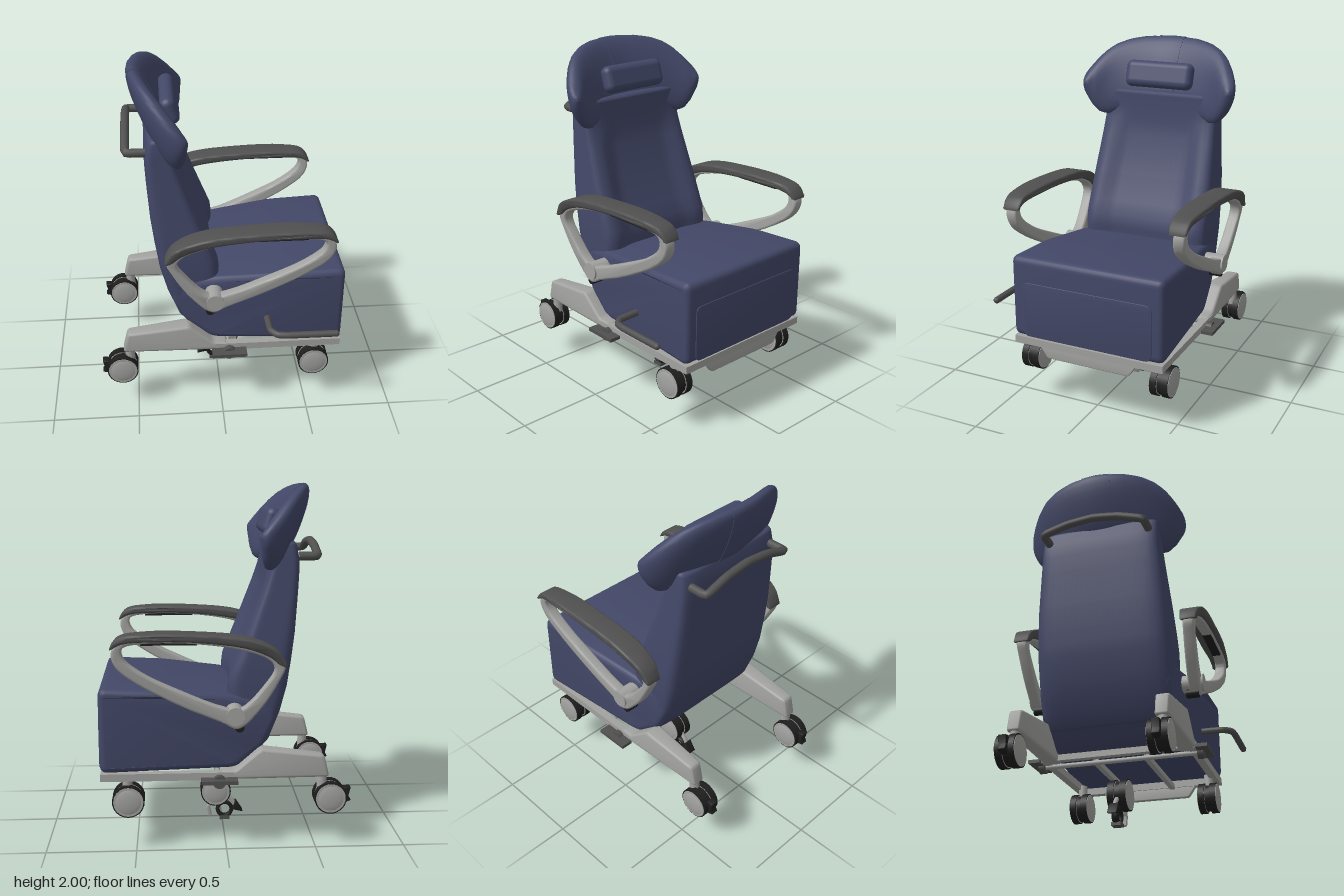
import * as THREE from 'three';
import { toCreasedNormals } from 'three/addons/utils/BufferGeometryUtils.js';
import { RoundedBoxGeometry } from 'three/addons/geometries/RoundedBoxGeometry.js';

const V2 = (p) => new THREE.Vector2(p[0], p[1]);
const V3 = (p) => new THREE.Vector3(...p);
const mat = (name, color) => Object.assign(new THREE.MeshStandardMaterial({ color }), { name });
const { smoothstep } = THREE.MathUtils;

// Skin a row of equal-length rings, closing both ends; winding is set from the enclosed volume.
function loft(rings) {
  const m = rings[0].length, pos = rings.flat(2), idx = [];
  for (let i = 0; i < rings.length - 1; i++) for (let j = 0; j < m; j++) {
    const a = i * m + j, b = i * m + (j + 1) % m;
    idx.push(a, b, a + m, b, b + m, a + m);
  }
  [rings[0], rings[rings.length - 1]].forEach((r, end) => {
    const o = pos.length / 3;
    pos.push(...r.flat(), ...[0, 1, 2].map((k) => r.reduce((s, p) => s + p[k], 0) / m));
    for (let j = 0; j < m; j++) {
      const a = o + j, b = o + (j + 1) % m;
      idx.push(...(end ? [a, b, o + m] : [b, a, o + m]));
    }
  });
  let vol = 0;
  const at = (i) => V3(pos.slice(i * 3, i * 3 + 3));
  for (let i = 0; i < idx.length; i += 3) vol += at(idx[i]).dot(at(idx[i + 1]).cross(at(idx[i + 2])));
  if (vol < 0) idx.reverse();
  const g = new THREE.BufferGeometry();
  g.setAttribute('position', new THREE.Float32BufferAttribute(pos, 3));
  g.setIndex(idx);
  g.computeVertexNormals();
  return g;
}

// Unit superellipse point in the direction t.
function superPoint(t, n) {
  const c = Math.cos(t), s = Math.sin(t);
  const r = (Math.abs(c) ** n + Math.abs(s) ** n) ** (-1 / n);
  return [c * r, s * r];
}

// Linear look-up of [key, value, value...] rows.
function lookUp(rows, x) {
  const i = Math.max(1, rows.findIndex((r) => r[0] >= x)), a = rows[i - 1], b = rows[i];
  return a.map((v, k) => v + (b[k] - v) * (x - a[0]) / (b[0] - a[0]));
}

// Polygon with softened corners.
function roundedShape(pts, r) {
  const s = new THREE.Shape(), p = pts.map(V2), n = p.length;
  p.forEach((c, i) => {
    const toward = (q) => c.clone().lerp(q, Math.min(0.45, r / c.distanceTo(q)));
    const a = toward(p[(i + n - 1) % n]), b = toward(p[(i + 1) % n]);
    if (i) s.lineTo(a.x, a.y); else s.moveTo(a.x, a.y);
    s.quadraticCurveTo(c.x, c.y, b.x, b.y);
  });
  s.closePath();
  return s;
}

const splineLoop = (pts, n = 64) => new THREE.CatmullRomCurve3(pts.map((p) => V3([p[0], p[1], 0])), true)
  .getPoints(n).slice(0, n).map((p) => new THREE.Vector2(p.x, p.y));

// Extrude in z, centred, with an inset bevel; rule may move each vertex.
function extrude(shape, width, bevel, rule) {
  const g = new THREE.ExtrudeGeometry(shape, { depth: width - 2 * bevel, bevelEnabled: bevel > 0,
    bevelSize: bevel, bevelThickness: bevel, bevelOffset: -bevel, bevelSegments: 3, curveSegments: 6 });
  g.translate(0, 0, bevel - width / 2);
  const p = g.attributes.position, v = new THREE.Vector3();
  if (rule) for (let i = 0; i < p.count; i++) {
    rule(v.fromBufferAttribute(p, i));
    p.setXYZ(i, v.x, v.y, v.z);
  }
  return toCreasedNormals(g, 0.7);
}

const tube = (pts, r, tension = 0.2) => new THREE.TubeGeometry(
  new THREE.CatmullRomCurve3(pts.map(V3), false, 'catmullrom', tension), 40, r, 10);
const disc = (r, w) => new THREE.CylinderGeometry(r, r, w, 28).rotateX(Math.PI / 2);

export function createModel() {
  const model = new THREE.Group(), chair = new THREE.Group();
  chair.name = 'chair';
  chair.position.z = -0.035;
  model.add(chair);
  const blue = mat('blue upholstery', 0x434868), grey = mat('light grey frame', 0xa2a2a0);
  const dark = mat('dark grey plastic', 0x505050), black = mat('black rubber', 0x1e1e1e);
  const add = (name, geo, m, x = 0, y = 0, z = 0, parent = chair) => {
    const mesh = new THREE.Mesh(geo, m);
    mesh.name = name;
    mesh.position.set(x, y, z);
    parent.add(mesh);
    return mesh;
  };
  const box = (name, m, w, h, d, x, y, z, parent) => add(name, new THREE.BoxGeometry(w, h, d), m, x, y, z, parent);

  // Seat block, narrowing toward the back
  const seat = roundedShape([[-0.06, 0.45], [0.695, 0.445], [0.697, 0.92], [0.35, 0.905], [0, 0.87],
    [-0.28, 0.83], [-0.285, 0.73], [-0.21, 0.57]], 0.045);
  add('seat', extrude(seat, 0.91, 0.03, (v) => {
    v.z *= 1 - 0.16 * smoothstep(0.5 - v.x, 0, 0.8);
  }), blue);
  add('seatFrontPanel', extrude(roundedShape([[-0.39, 0.455], [0.39, 0.455], [0.39, 0.775], [-0.39, 0.775]], 0.04),
    0.009, 0.002).rotateY(Math.PI / 2), blue, 0.696);

  // Backrest: y, rear x, front x, half width, hollow in the front
  const backLevels = [[0.53, -0.19, -0.08, 0.35, 0], [0.6, -0.25, -0.03, 0.375, 0], [0.75, -0.31, -0.01, 0.385, 0.03],
    [0.9, -0.35, -0.003, 0.388, 0.035], [0.97, -0.36, -0.012, 0.388, 0.035], [1.05, -0.372, -0.045, 0.386, 0.04],
    [1.2, -0.39, -0.105, 0.378, 0.045], [1.42, -0.405, -0.19, 0.361, 0.035], [1.52, -0.41, -0.225, 0.354, 0.005],
    [1.6, -0.41, -0.243, 0.35, 0], [1.675, -0.395, -0.237, 0.344, 0], [1.69, -0.385, -0.245, 0.338, 0],
    [1.696, -0.36, -0.265, 0.32, 0]];
  add('backrest', loft(backLevels.map(([y, xr, xf, w, dent]) => Array.from({ length: 80 }, (_, i) => {
    const [a, b] = superPoint((i / 80) * Math.PI * 2, 7);
    const hollow = a > 0 ? dent * (1 - smoothstep(Math.abs(b), 0.5, 0.85)) : 0;
    return [(xr + xf) / 2 + a * (xf - xr) / 2 - hollow, y, b * w];
  }))), blue);

  // Winged headrest (share of half length, top, bottom) and its centre band
  const half = [[-0.185, 0.46], [-0.23, 0.435], [-0.29, 0.36], [-0.34, 0.22]];
  const plan = new THREE.CatmullRomCurve3([...half.map(([x, z]) => V3([x, 0, -z])), V3([-0.37, 0, 0]),
    ...half.slice().reverse().map(([x, z]) => V3([x, 0, z]))]);
  const outline = [[0, 1.998, 1.6], [0.3, 1.993, 1.59], [0.5, 1.975, 1.565], [0.65, 1.945, 1.542], [0.75, 1.91, 1.55],
    [0.86, 1.85, 1.6], [0.95, 1.79, 1.67], [1, 1.745, 1.725]];
  const headrest = (limit, grow) => loft(Array.from({ length: 41 }, (_, i) => {
    const s = limit * Math.sin((i / 20 - 1) * Math.PI / 2), u = (s + 1) / 2;
    const c = plan.getPointAt(u), t = plan.getTangentAt(u);
    const [, top, bottom] = lookUp(outline, Math.abs(s));
    const thick = 0.06 * Math.sqrt(Math.max(1e-3, 1 - s ** 8));
    return Array.from({ length: 28 }, (_, j) => {
      const [a, b] = superPoint((j / 28) * Math.PI * 2, 2.4);
      const d = a * (thick + grow), y = (top + bottom) / 2 + b * ((top - bottom) / 2 + grow);
      return [c.x + d * t.z - (0.35 - 0.1 * s * s) * (y - 1.74), y, c.z - d * t.x];
    });
  }));
  add('headrest', headrest(1, 0), blue);
  add('headrestBand', headrest(0.16, 0.003), blue);
  add('neckPillow', new RoundedBoxGeometry(0.085, 0.155, 0.42, 5, 0.04), blue, -0.262, 1.795, 0).rotation.z = 0.3;

  // Push handle behind the back
  add('pushHandle', tube([[-0.4, 1.615, -0.3], [-0.49, 1.615, -0.3], [-0.507, 1.62, -0.285], [-0.507, 1.66, -0.15],
    [-0.507, 1.677, 0], [-0.507, 1.66, 0.15], [-0.507, 1.62, 0.285], [-0.49, 1.615, 0.3], [-0.4, 1.615, 0.3]], 0.024), dark);

  // Armrests: looped frame, pad over the top with an insert below, pivot
  const loop = new THREE.Shape(splineLoop([[-0.06, 0.7], [0.02, 0.735], [0.25, 0.835], [0.48, 0.96], [0.59, 1.05],
    [0.615, 1.13], [0.57, 1.195], [0.4, 1.215], [0.15, 1.21], [-0.1, 1.175], [-0.25, 1.115], [-0.31, 1.05],
    [-0.28, 0.97], [-0.18, 0.81]]));
  loop.holes.push(new THREE.Path(splineLoop([[-0.07, 0.81], [0.03, 0.825], [0.25, 0.915], [0.45, 1.015], [0.55, 1.1],
    [0.555, 1.155], [0.45, 1.18], [0.15, 1.175], [-0.1, 1.135], [-0.23, 1.08], [-0.255, 1.03], [-0.21, 0.95]])));
  const pad = new THREE.Shape(splineLoop([[-0.318, 1.05], [-0.29, 1.115], [-0.23, 1.16], [-0.1, 1.205], [0.15, 1.23],
    [0.45, 1.233], [0.58, 1.21], [0.622, 1.15], [0.56, 1.18], [0.42, 1.193], [0.15, 1.187], [-0.1, 1.152],
    [-0.23, 1.1], [-0.28, 1.06]]));
  for (const side of [1, -1]) {
    const lean = (v) => { v.z += side * 0.07 * (v.y - 1.1); };
    const taper = (v) => {
      v.z *= (1 - 0.2 * smoothstep(v.x, 0.35, 0.62)) * (1 - 0.3 * smoothstep(1.2 - v.y, 0, 0.13));
    };
    add('armFrame', extrude(loop, 0.065, 0.012, lean), grey, 0, 0, side * 0.497);
    add('armPad', extrude(pad, 0.135, 0.012, taper), dark, 0, 0, side * 0.493);
    box('armPadInsert', black, 0.3, 0.009, 0.05, 0.31, 1.176, side * 0.5);
    add('armPivot', disc(0.05, 0.13), grey, -0.045, 0.775, side * 0.452);
    add('armPivotKnob', disc(0.025, 0.07), black, -0.07, 0.705, side * 0.455);
  }

  // Recline lever with a rounded end
  add('reclineLever', tube([[0.26, 0.6, 0.43], [0.265, 0.6, 0.55], [0.3, 0.6, 0.595], [0.36, 0.6, 0.605],
    [0.63, 0.6, 0.607]], 0.019), dark);
  add('leverTip', new THREE.SphereGeometry(0.019, 12, 8), dark, 0.63, 0.6, 0.607);

  // Base frame, with rear legs tapering to their ends
  const leg = roundedShape([[-0.575, 0.4], [0.03, 0.4], [0.03, 0.445], [-0.05, 0.45], [-0.19, 0.57], [-0.545, 0.525]], 0.02);
  for (const side of [1, -1]) {
    add('rearLeg', extrude(leg, 0.105, 0.015, (v) => { v.z *= 0.7 + 0.3 * smoothstep(v.x, -0.6, -0.3); }),
      grey, 0, 0, side * 0.4);
    box('sideRail', grey, 0.73, 0.042, 0.045, 0.325, 0.421, side * 0.43);
    box('innerRail', grey, 0.62, 0.03, 0.03, 0.36, 0.405, side * 0.15);
    box('brakePedal', dark, 0.2, 0.02, 0.07, 0.04, 0.405, side * 0.487);
    add('pedalHub', disc(0.036, 0.035), dark, 0.04, 0.395, side * 0.468);
  }
  box('frontRail', grey, 0.045, 0.042, 0.9, 0.67, 0.421, 0);
  box('rearRail', grey, 0.04, 0.035, 0.8, -0.02, 0.42, 0);
  add('pedalRod', disc(0.014, 0.96), grey, 0.04, 0.395, 0);
  add('frontLip', extrude(roundedShape([[-0.3, 0.41], [-0.25, 0.335], [0.25, 0.335], [0.3, 0.41]], 0.015), 0.03, 0.005)
    .rotateY(Math.PI / 2), grey, 0.67);

  // Twin-wheel casters
  const cap = new THREE.SphereGeometry(0.081, 24, 10);
  cap.scale(1, 1, 0.2);
  const caster = (name, x, y, z, stemX) => {
    const g = new THREE.Group();
    g.name = name;
    g.position.set(x, y, z);
    chair.add(g);
    for (const side of [1, -1]) {
      add('tyre', disc(0.09, 0.038), black, 0, 0, side * 0.034, g);
      add('rim', disc(0.083, 0.042), grey, 0, 0, side * 0.035, g);
      add('wheelCap', cap, grey, 0, 0, side * 0.048, g);
    }
    add('hood', disc(0.078, 0.04), black, 0, 0, 0, g);
    if (stemX !== undefined) add('stem', new THREE.CylinderGeometry(0.026, 0.03, 0.11, 16), grey, stemX, 0.09, 0, g);
    return g;
  };
  const wedge = extrude(roundedShape([[-0.07, 0.05], [-0.118, 0.055], [-0.105, 0], [-0.12, -0.025], [-0.07, -0.04]], 0.008), 0.045, 0.005);
  for (const side of [1, -1]) {
    add('brakeTab', wedge, black, 0, 0, 0, caster('rearCaster', -0.582, 0.28, side * 0.4, 0.045));
    caster('frontCaster', 0.542, 0.28, side * 0.4, 0.005);
  }

  // Central steering caster with its foot lever
  const fifth = caster('centreCaster', 0.04, 0.187, 0);
  const ring = new THREE.TorusGeometry(0.042, 0.012, 8, 20);
  ring.scale(1, 1, 1.8);
  add('leverRing', ring, black, -0.055, -0.128, 0, fifth);
  add('leverArm', tube([[-0.06, -0.03, 0], [-0.1, -0.07, 0], [-0.13, -0.13, 0]], 0.013), grey, 0, 0, 0, fifth);
  add('leverStrut', extrude(roundedShape([[0.01, -0.07], [0.04, -0.07], [0.056, -0.11], [0.04, -0.168], [0.022, -0.165],
    [0.035, -0.11]], 0.008), 0.055, 0.004), grey, 0, 0, 0, fifth);
  add('leverToe', extrude(roundedShape([[-0.12, -0.07], [-0.165, -0.14], [-0.1, -0.125]], 0.008), 0.055, 0.004), black, 0, 0, 0, fifth);
  box('leverFoot', dark, 0.06, 0.02, 0.055, -0.055, -0.177, 0, fifth);
  return model;
}
